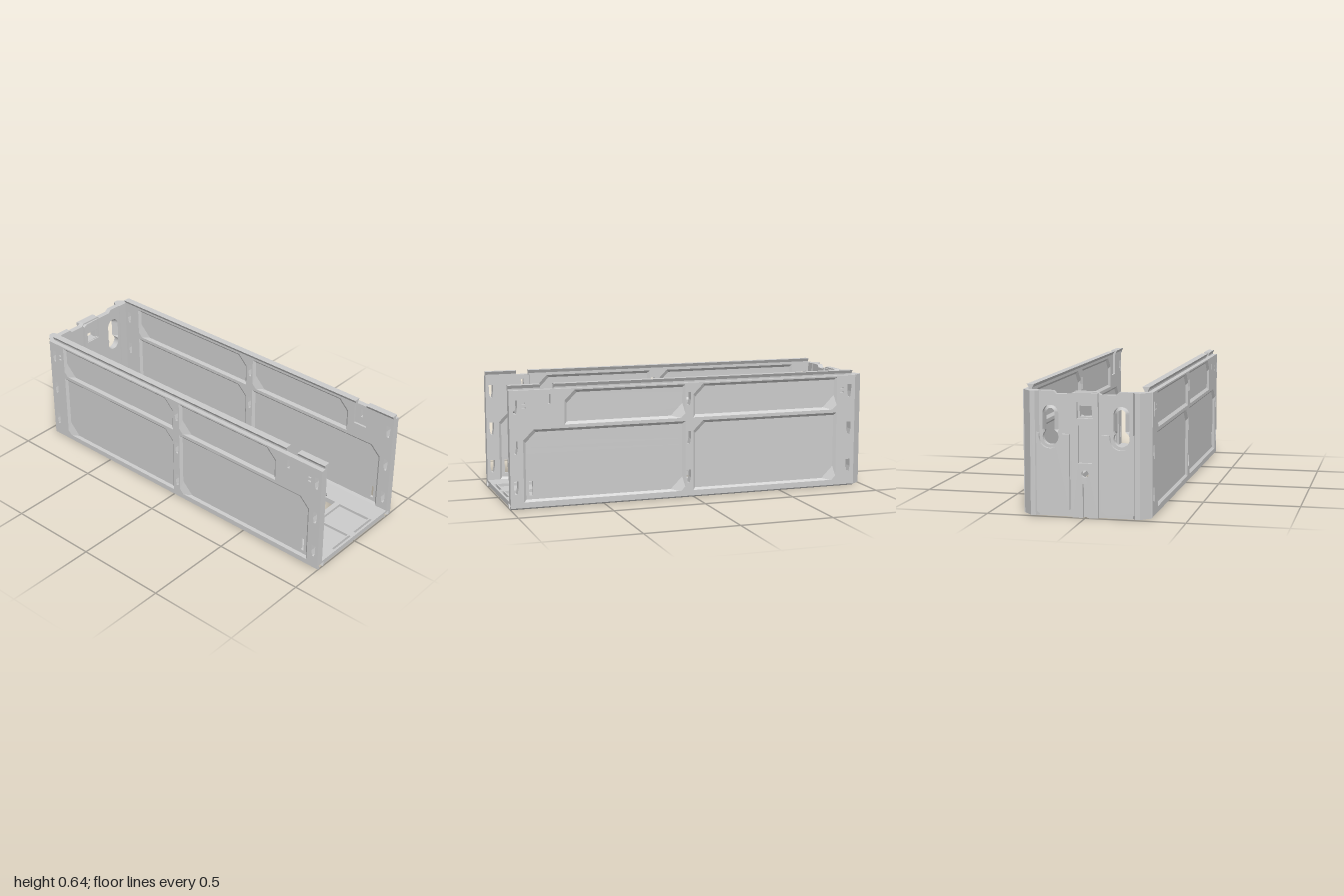
import * as THREE from 'three';

const mat = new THREE.MeshStandardMaterial({ color: 0xcccccc, flatShading: true });
const matThin = new THREE.MeshStandardMaterial({ color: 0xcccccc, flatShading: true, side: THREE.DoubleSide });
const vec = (pts) => pts.map(([x, y]) => new THREE.Vector2(x, y));
const rect = (x0, x1, y0, y1) => [[x0, y0], [x1, y0], [x1, y1], [x0, y1]];
const arc = (cx, cy, r, a0, a1, n) => Array.from({ length: n + 1 }, (_, i) => {
  const a = a0 + (a1 - a0) * i / n;
  return [cx + r * Math.cos(a), cy + r * Math.sin(a)];
});
const circle = (cx, cy, r, n = 24) => arc(cx, cy, r, 0, Math.PI * 2 * (1 - 1 / n), n - 1);
const mirror = (pts) => pts.map(([x, y]) => [-x, y]);

// Flat plate with holes, from depth w0 to w1
function plate(outline, holes, w0, w1) {
  const s = new THREE.Shape(vec(outline));
  holes.forEach((h) => s.holes.push(new THREE.Path(vec(h))));
  return new THREE.ExtrudeGeometry(s, { depth: w1 - w0, bevelEnabled: false }).translate(0, 0, w0);
}
// Sloped band joining two loops with equal point counts
function loft(a, b, wa, wb) {
  const p = [];
  a.forEach((_, i) => {
    const j = (i + 1) % a.length;
    const A = [...a[i], wa], B = [...a[j], wa], C = [...b[j], wb], D = [...b[i], wb];
    p.push(...A, ...B, ...C, ...A, ...C, ...D);
  });
  const g = new THREE.BufferGeometry();
  g.setAttribute('position', new THREE.Float32BufferAttribute(p, 3));
  g.computeVertexNormals();
  return g;
}
function add(group, name, geo, m = mat) {
  const mesh = new THREE.Mesh(geo, m);
  mesh.name = name;
  group.add(mesh);
  return mesh;
}

// Side wall, drawn in (-z, y): two framed skins around a thin core
const panel = (u0, u1, v0, v1, tl, br) => [
  [u0, v0], [u1 - br, v0], [u1, v0 + br], [u1, v1], [u0 + tl, v1], [u0, v1 - tl]];
const PANELS = [[-0.93, -0.05, 0.035, 0.415], [-0.71, -0.05, 0.433, 0.612],
  [-0.005, 0.835, 0.035, 0.415], [-0.005, 0.835, 0.433, 0.612]];

function buildWall(s) {
  const g = new THREE.Group();
  g.name = s > 0 ? 'leftWall' : 'rightWall';
  const put = (name, geo, m) => add(g, name, geo.rotateY(Math.PI / 2), m);
  const slots = [];
  for (const u of [-0.97, -0.031, 0.91]) for (const v of [0.535, 0.325, 0.115])
    slots.push([[-0.012, 0.035], [-0.012, -0.005], [-0.006, -0.035], [0.006, -0.035], [0.012, -0.005], [0.012, 0.035]]
      .map(([a, b]) => [u + a, v + b]));
  slots.push(rect(-0.797, -0.783, 0.545, 0.595));
  const ticks = [];
  for (const u of [-0.925, 0.865]) for (const v of [0.53, 0.553]) ticks.push(rect(u - 0.01, u + 0.01, v - 0.004, v + 0.004));

  const outline = rect(-1, 0.945, 0.03, 0.62);
  const notched = [[-1, 0.03], [0.945, 0.03], [0.945, 0.62], [-0.75, 0.62], [-0.75, 0.5], [-0.83, 0.5], [-0.83, 0.62], [-1, 0.62]];
  const holes = PANELS.map((p) => panel(...p, 0.055, 0.025));
  put('wallCore', plate(outline, [...slots, rect(-0.9, -0.88, 0.07, 0.145)], s * 0.305 - 0.008, s * 0.305 + 0.008));
  const span = (a, b) => [Math.min(s * a, s * b), Math.max(s * a, s * b)];
  put('outerFrame', plate(outline, [...holes, ...slots, ...ticks], ...span(0.313, 0.325)));
  put('innerFrame', plate(notched, [...holes, ...slots.slice(0, 9)], ...span(0.285, 0.297)));

  // Sloped edges of the recessed panels on both faces
  PANELS.forEach(([u0, u1, v0, v1], i) => {
    const b = 0.014, inner = panel(u0 + b, u1 - b, v0 + b, v1 - b, 0.055, 0.065);
    put('outerPanelEdge', loft(holes[i], inner, s * 0.325, s * 0.313), matThin);
    put('innerPanelEdge', loft(holes[i], inner, s * 0.285, s * 0.297), matThin);
  });

  // Dovetail rail above, grooved foot below
  const tail = [[-0.009, 0.618], [0.009, 0.618], [0.009, 0.628], [0.019, 0.645], [-0.019, 0.645], [-0.009, 0.628]]
    .map(([x, y]) => [x + s * 0.29, y]);
  add(g, 'dovetailRailFront', plate(tail, [], 0.83, 1));
  add(g, 'dovetailRail', plate(tail, [], -0.935, 0.76));
  const foot = [[0.24, 0.008], [0.262, 0.008], [0.27, 0], [0.278, 0], [0.268, 0.025], [0.312, 0.025], [0.302, 0],
    [0.317, 0], [0.325, 0.008], [0.325, 0.037], [0.24, 0.037]].map(([x, y]) => [s * x, y]);
  foot.splice(0, 1, [s * 0.26, 0.01]);
  foot[foot.length - 1] = [s * 0.26, 0.037];
  add(g, 'groovedFoot', plate(foot, [], -0.945, 1));
  return g;
}

// Floor, drawn in (x, -z)
function buildFloor() {
  const g = new THREE.Group();
  g.name = 'floor';
  const put = (name, geo) => add(g, name, geo.rotateX(-Math.PI / 2));
  const bosses = [-0.86, -0.45, -0.3, 0.07, 0.48];
  const holes = bosses.map((z) => circle(0, -z, 0.015, 16));
  const bays = [[-0.915, -0.175], [-0.145, 0.345], [0.375, 0.745], [0.775, 0.968], [0.976, 0.988]];
  const half = bays.map(([a, b]) => rect(0.02, 0.168, -b, -a));
  half.push([[0.258, 0.69], [0.18, 0.62], [0.18, 0.175], [0.258, 0.175]]);
  half.push(rect(0.18, 0.258, -0.345, 0.145));
  half.push([[0.258, -0.375], [0.18, -0.375], [0.18, -0.68], [0.258, -0.6]]);
  half.forEach((h) => holes.push(h, mirror(h)));
  put('floorFrame', plate(rect(-0.262, 0.262, -1, 0.945), holes, 0.009, 0.037));
  put('frontFloorPanel', plate(rect(-0.17, 0.17, -0.972, -0.77), [], 0.01, 0.022));
  for (const z of bosses) put('screwBoss', plate(
    arc(0, -z, 0.038, Math.PI / 6, Math.PI * 11 / 6, 5), [circle(0, -z, 0.015, 16)], 0.006, 0.041));
  // Diagonal braces
  for (const z of [-0.175, 0.345, 0.745]) for (const s of [-1, 1]) {
    const brace = add(g, 'diagonalBrace', new THREE.BoxGeometry(0.345, 0.024, 0.013));
    brace.position.set(s * 0.14, 0.023, z - 0.122);
    brace.rotation.y = s * Math.PI / 4;
  }
  return g;
}

// Back wall with mounting keyholes, centre column and chamfered corners
function buildBack() {
  const g = new THREE.Group();
  g.name = 'backWall';
  const Z1 = -0.945, Z0 = -0.975;
  const keyhole = (x, r, top) => [
    ...arc(x, top - r, r, 0, Math.PI, 14), [x - r, 0.428],
    ...arc(x, 0.393, 0.04, Math.PI * 5 / 6, Math.PI * 13 / 6, 20), [x + r, 0.428]];
  const latchWindow = rect(-0.03, 0.03, 0.497, 0.55);
  const wide = [-0.178, 0.178].map((x) => keyhole(x, 0.04, 0.55));
  const top = [[0.26, 0.62], [0.165, 0.62], [0.15, 0.605], [0.073, 0.605], [0.055, 0.62]];
  const outline = [[-0.26, 0], [0.26, 0], ...top, ...mirror(top).reverse()];
  add(g, 'backPlate', plate(outline, [...wide, latchWindow, circle(0, 0.218, 0.037)], Z0, Z1));
  [-0.178, 0.178].forEach((x, i) =>
    add(g, 'keyholeCountersink', loft(wide[i], keyhole(x, 0.02, 0.535), Z1, Z0), matThin));
  add(g, 'screwCountersink', loft(circle(0, 0.218, 0.037), circle(0, 0.218, 0.017), Z1, Z0), matThin);

  // Raised lower panels, scooped around the keyholes
  for (const s of [-1, 1]) {
    const p = [[0.08, 0.035], [0.11, 0.012], [0.23, 0.012], [0.262, 0.035], [0.262, 0.43], [0.235, 0.41],
      ...arc(0.178, 0.393, 0.055, 0, -Math.PI, 16), [0.12, 0.41], [0.08, 0.41]];
    add(g, 'lowerBackPanel', plate(s > 0 ? p : mirror(p), [], -0.993, Z0));
    const c = [[0.325, 0.94], [0.275, 1], [0.25, 1], [0.235, 0.975], [0.235, 0.94]];
    add(g, 'cornerPillar', plate(s > 0 ? c : mirror(c), [], 0.004, 0.62).rotateX(-Math.PI / 2));
  }

  // Centre column on the outside
  const column = [[-0.065, 0], [-0.012, 0], [-0.012, 0.17], [0.012, 0.17], [0.012, 0], [0.065, 0], [0.065, 0.615], [-0.065, 0.615]];
  add(g, 'centreColumn', plate(column, [rect(-0.04, 0.04, 0.49, 0.57), rect(-0.035, 0.035, 0.27, 0.455),
    circle(0, 0.218, 0.018)], -0.995, Z0));

  // Latch housing on the inside
  add(g, 'latchHousing', plate([[-0.065, 0.475], [0.065, 0.475], [0.065, 0.605], [0.05, 0.615], [0.045, 0.615],
    [0.045, 0.495], [-0.045, 0.495], [-0.045, 0.615], [-0.05, 0.615], [-0.065, 0.605]], [], Z1, -0.928));
  add(g, 'latchPlate', plate(rect(-0.045, 0.045, 0.495, 0.612), [rect(-0.041, 0.041, 0.498, 0.55)], Z1, -0.935));
  add(g, 'latchTab', plate(rect(-0.023, 0.023, 0.467, 0.476), [], Z1, -0.935));
  return g;
}

export function createModel() {
  const model = new THREE.Group();
  model.name = 'openTray';
  model.add(buildWall(1), buildWall(-1), buildFloor(), buildBack());
  return model;
}
